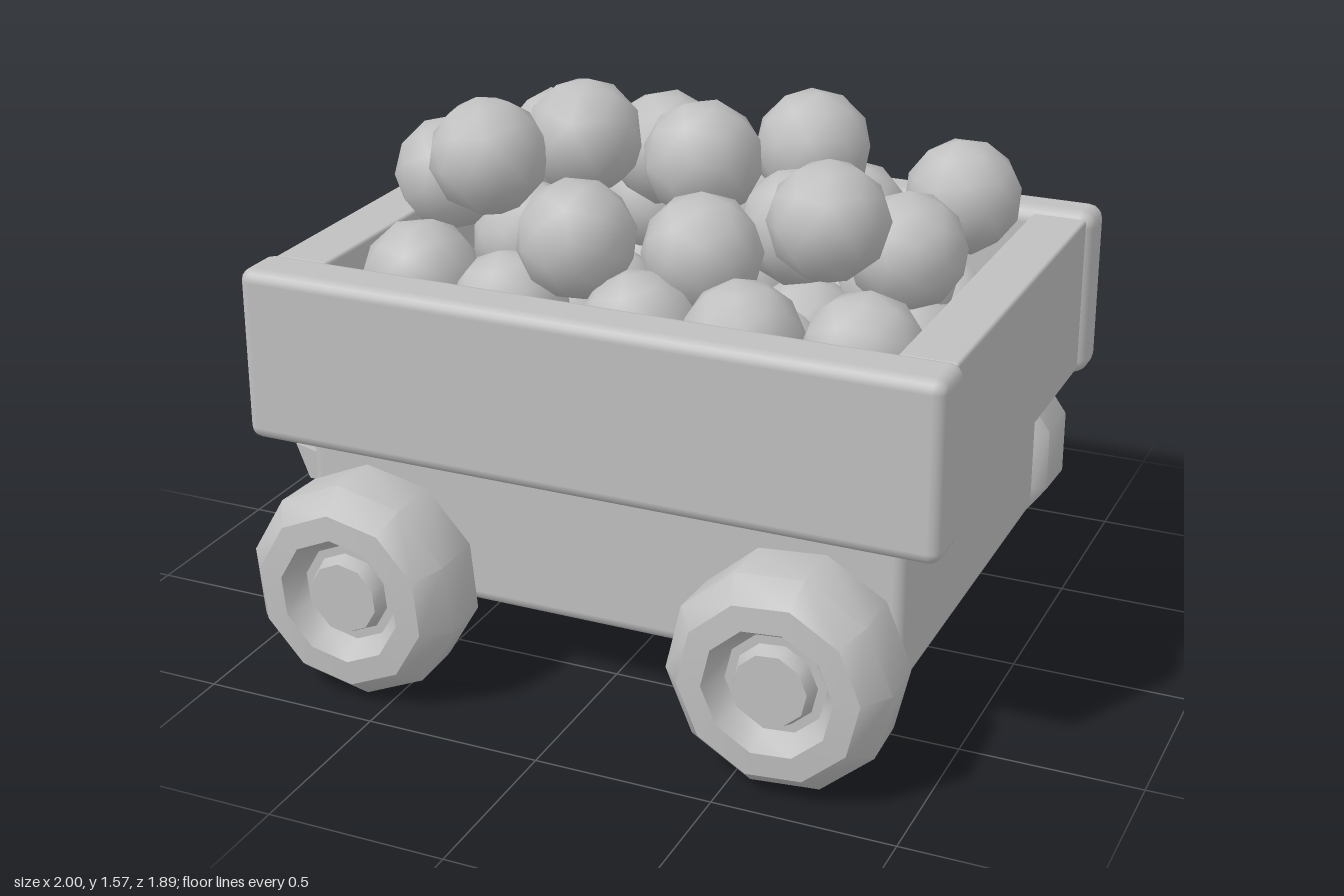
import * as THREE from 'three';
import { toCreasedNormals } from 'three/addons/utils/BufferGeometryUtils.js';
import { RoundedBoxGeometry } from 'three/addons/geometries/RoundedBoxGeometry.js';

const grey = new THREE.MeshStandardMaterial({ color: 0xc0c0c0 });
grey.name = 'plain grey';

function add(parent, name, geometry, x = 0, y = 0, z = 0) {
  const mesh = new THREE.Mesh(geometry, grey);
  mesh.name = name;
  mesh.position.set(x, y, z);
  parent.add(mesh);
  return mesh;
}

// Bevelled board given by its extents on each axis
function board(parent, name, [x0, x1], [y0, y1], [z0, z1], bevel) {
  const geometry = new RoundedBoxGeometry(x1 - x0, y1 - y0, z1 - z0, 2, bevel);
  return add(parent, name, geometry, (x0 + x1) / 2, (y0 + y1) / 2, (z0 + z1) / 2);
}

// Chunky wheel with a rounded tyre, recessed ring and raised hub
function wheelGeometry() {
  const profile = [
    [0, 0], [0.2, 0], [0.27, 0.01], [0.305, 0.04], [0.31, 0.2], [0.25, 0.27],
    [0.18, 0.275], [0.14, 0.21], [0.115, 0.21], [0.1, 0.25], [0, 0.25],
  ].map(([r, h]) => new THREE.Vector2(r, h));
  return toCreasedNormals(new THREE.LatheGeometry(profile, 10), 0.75);
}

// Centres of the heaped balls
const BALLS = [
  // upper layer
  [-0.71, 1.26, 0.06], [-0.49, 1.39, 0.25], [-0.3, 1.41, 0.04], [0.06, 1.39, 0.04],
  [-0.17, 1.23, 0.36], [0.15, 1.2, 0.25], [0.49, 1.32, 0.2], [0.67, 1.23, -0.4],
  [0.25, 1.35, -0.31], [-0.49, 1.3, -0.2], [-0.17, 1.32, -0.23], [0.33, 1.22, 0],
  [0.64, 1.19, -0.01],
  // middle layer
  [-0.65, 1.07, -0.38], [-0.28, 1.1, -0.4], [0.06, 1.15, -0.39], [0.33, 1.12, -0.42],
  [0.55, 1.02, -0.2], [0.66, 1.04, 0.38], [-0.64, 1.06, 0.38], [0.33, 1.03, 0.4],
  [0.04, 1.02, 0.42], [-0.35, 1.02, 0.41], [-0.5, 1.08, 0],
];

export function createModel() {
  const cart = new THREE.Group();
  cart.name = 'cart';

  // Lower body and open box
  board(cart, 'lowerBody', [-0.89, 0.87], [0.21, 0.67], [-0.6, 0.61], 0.035);
  board(cart, 'frontBoard', [-1, 1], [0.655, 1.15], [0.585, 0.75], 0.035);
  board(cart, 'backBoard', [-1, 1], [0.655, 1.155], [-0.74, -0.595], 0.045);
  board(cart, 'rightEndBoard', [-0.98, -0.82], [0.68, 1.14], [-0.6, 0.59], 0.01);
  board(cart, 'leftEndBoard', [0.82, 0.98], [0.68, 1.14], [-0.6, 0.59], 0.01);
  board(cart, 'floor', [-0.83, 0.83], [0.64, 0.7], [-0.6, 0.59], 0.01);

  // Flared tow peg on the right end
  const pegShape = new THREE.Shape([
    new THREE.Vector2(-0.84, 0.45), new THREE.Vector2(-0.84, 0.52),
    new THREE.Vector2(-0.99, 0.55), new THREE.Vector2(-0.95, 0.45),
  ]);
  const peg = new THREE.ExtrudeGeometry(pegShape, { depth: 0.3, bevelEnabled: false });
  add(cart, 'towPeg', peg, 0, 0, 0.23);

  // Wheels and tapered axle ends
  const wheel = wheelGeometry();
  const stub = new THREE.CylinderGeometry(0.045, 0.08, 0.16, 8);
  const corners = [[-0.615, 1, 0.1], [0.625, 1, 0.4], [-0.6, -1, 0.25], [0.59, -1, 0]];
  for (const [x, side, roll] of corners) {
    const unit = new THREE.Group();
    unit.name = 'wheelUnit';
    unit.position.set(x, 0.32, side * 0.67);
    unit.rotation.x = side * Math.PI / 2;
    add(unit, 'wheel', wheel).rotation.y = roll;
    add(unit, 'axleEnd', stub, 0, -0.05, 0);
    cart.add(unit);
  }

  // Heap of faceted round balls, each turned differently
  const heap = new THREE.Group();
  heap.name = 'ballHeap';
  const ball = new THREE.IcosahedronGeometry(0.167, 1);
  BALLS.forEach(([x, y, z], i) => {
    add(heap, 'ball', ball, x, y, z).rotation.set(i * 1.3, i * 0.7, i * 2.1);
  });

  // Bottom layer under the heap
  for (let i = 0; i < 5; i++) {
    for (let j = 0; j < 4; j++) {
      add(heap, 'ball', ball, -0.62 + i * 0.31, 0.86, -0.4 + j * 0.27).rotation.set(i, j, i + j);
    }
  }
  cart.add(heap);
  return cart;
}
